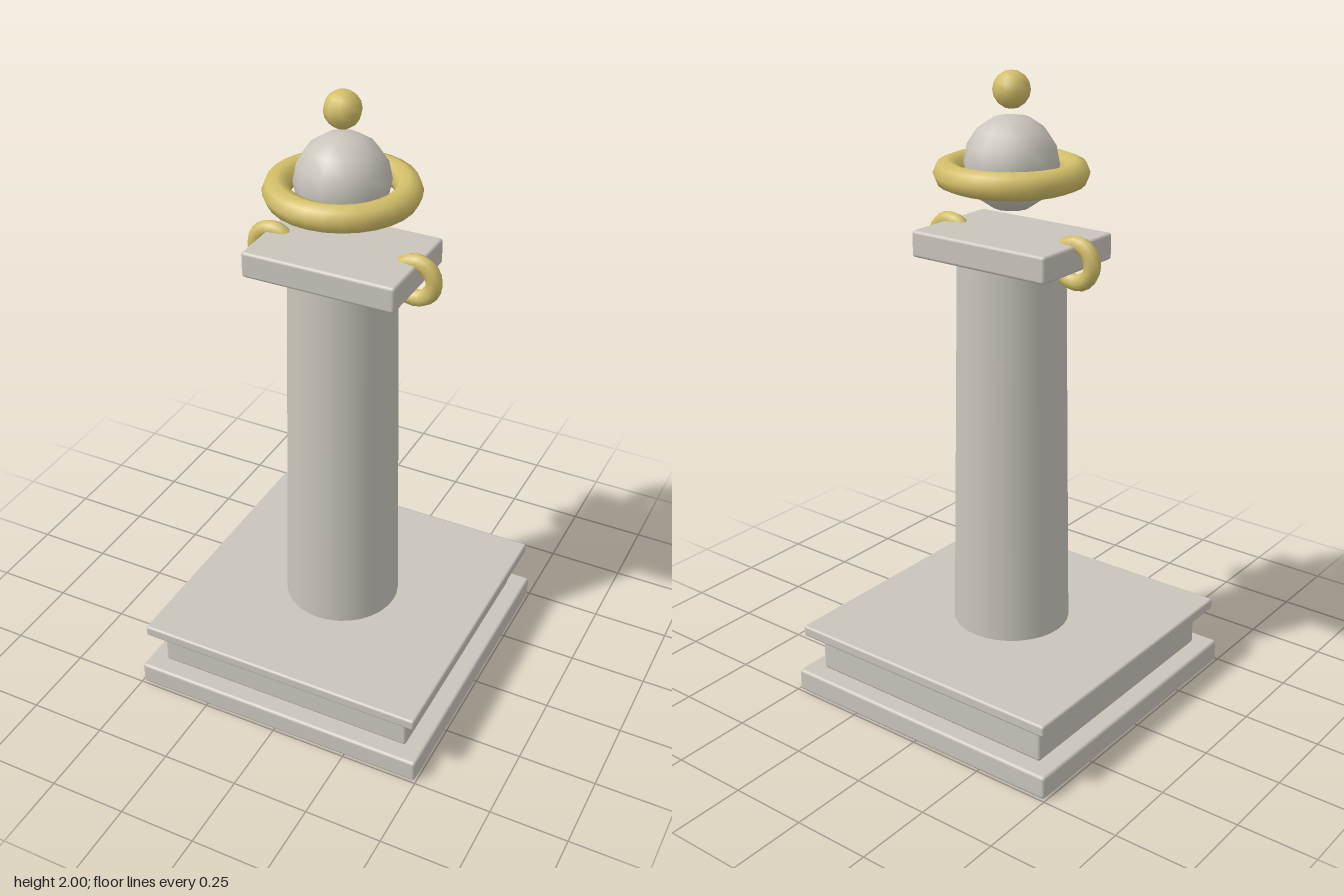
import * as THREE from 'three';
import { RoundedBoxGeometry } from 'three/addons/geometries/RoundedBoxGeometry.js';

export function createModel() {
  const model = new THREE.Group();
  model.name = 'columnMonument';

  const stone = new THREE.MeshStandardMaterial({ color: 0xc9c5bc });
  stone.name = 'stone';
  const gold = new THREE.MeshStandardMaterial({ color: 0xd2be68 });
  gold.name = 'gold';

  function add(name, geometry, material, x, y) {
    const mesh = new THREE.Mesh(geometry, material);
    mesh.name = name;
    mesh.position.set(x, y, 0);
    model.add(mesh);
    return mesh;
  }

  // Softly bevelled slab between two heights
  function slab(name, width, depth, bottom, top, bevel) {
    const geometry = new RoundedBoxGeometry(width, top - bottom, depth, 2, bevel);
    add(name, geometry, stone, 0, (bottom + top) / 2);
  }

  // Stepped base
  slab('basePlinth', 0.99, 0.99, 0, 0.075, 0.01);
  slab('baseBlock', 0.874, 0.874, 0.075, 0.2, 0.01);
  slab('baseCap', 0.96, 0.96, 0.198, 0.235, 0.008);

  // Tapered shaft
  add('shaft', new THREE.CylinderGeometry(0.165, 0.187, 1.22, 32), stone, 0, 0.84);

  // Capital with a gold scroll ring at each end
  slab('capital', 0.492, 0.346, 1.44, 1.523, 0.01);
  for (const [name, side] of [['leftScroll', 1], ['rightScroll', -1]]) {
    add(name, new THREE.TorusGeometry(0.058, 0.026, 8, 20), gold, side * 0.235, 1.465);
  }

  // Floating orb, its halo ring and the finial ball
  add('orb', new THREE.SphereGeometry(0.143, 12, 8), stone, 0, 1.73);
  const halo = add('haloRing', new THREE.TorusGeometry(0.19, 0.042, 8, 28), gold, 0, 1.702);
  halo.rotation.x = Math.PI / 2;
  add('finial', new THREE.SphereGeometry(0.056, 10, 8), gold, 0, 1.944);

  return model;
}
